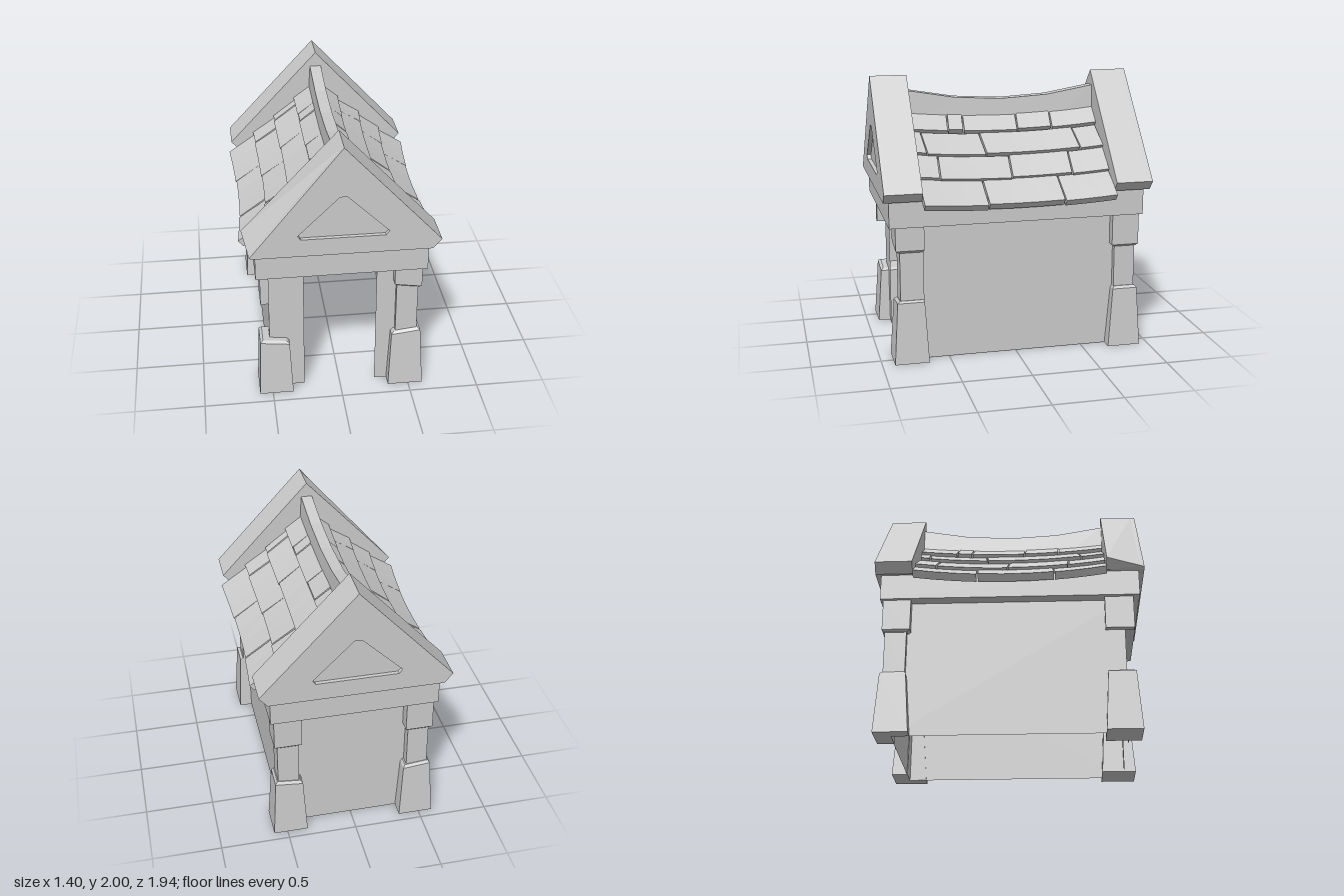
import * as THREE from 'three';

const stone = new THREE.MeshStandardMaterial({ color: 0xcccccc, flatShading: true });
const sheet = new THREE.MeshStandardMaterial({ color: 0xcccccc, flatShading: true, side: THREE.DoubleSide });

function add(parent, name, geometry, material = stone) {
  const mesh = new THREE.Mesh(geometry, material);
  mesh.name = name;
  parent.add(mesh);
  return mesh;
}

// Closed solid through rings of [x, y, z] points, listed from bottom to top
function loft(rings) {
  const flat = (r) => r.map(([x, , z]) => new THREE.Vector2(x, z));
  if (THREE.ShapeUtils.isClockWise(flat(rings[0]))) rings = rings.map((r) => [...r].reverse());
  const n = rings[0].length, index = [];
  for (let k = 0; k < rings.length - 1; k++) {
    for (let i = 0; i < n; i++) {
      const a = k * n + i, b = k * n + (i + 1) % n;
      index.push(a, b + n, b, a, a + n, b + n);
    }
  }
  const top = (rings.length - 1) * n;
  for (const [a, b, c] of THREE.ShapeUtils.triangulateShape(flat(rings[0]), [])) index.push(a, b, c);
  for (const [a, b, c] of THREE.ShapeUtils.triangulateShape(flat(rings[rings.length - 1]), [])) {
    index.push(top + a, top + c, top + b);
  }
  const g = new THREE.BufferGeometry();
  g.setAttribute('position', new THREE.Float32BufferAttribute(rings.flat(2), 3));
  g.setIndex(index);
  g.computeVertexNormals();
  return g;
}

// Corner stone; each section is [y, inner x, inner z, outer x, outer z, tilt]
function cornerStone(parent, name, sx, sz, sections, wrapsWall) {
  add(parent, name, loft(sections.map(([y, ix, iz, ox, oz, tilt = 0]) => {
    const pts = wrapsWall
      ? [[ox, oz], [ox, iz], [0.505, iz], [0.505, 0.815], [ix, 0.815], [ix, oz]]
      : [[ox, oz], [ox, iz], [ix, iz], [ix, oz]];
    return pts.map(([x, z]) => [sx * x, y + tilt * (x - 0.48), sz * z]);
  })));
}

function polygon(points, Type = THREE.Shape) {
  return new Type(points.map(([x, y]) => new THREE.Vector2(x, y)));
}

// Gable block with a sunken triangular panel; skew pulls in its front left eave
function gable(skew) {
  const group = new THREE.Group();
  const outline = [[0, 2], [-0.68, 1.27], [-0.62, 1.2], [0.62, 1.2], [0.68, 1.27]];
  const panel = [[-0.31, 1.36], [-0.29, 1.33], [0.29, 1.33], [0.315, 1.36], [0.025, 1.64], [-0.025, 1.64]];
  const layer = (name, z0, z1, hole) => {
    const shape = polygon(outline);
    if (hole) shape.holes.push(polygon(panel, THREE.Path));
    const g = new THREE.ExtrudeGeometry(shape, { depth: z1 - z0, bevelEnabled: false });
    g.translate(0, 0, z0);
    const p = g.attributes.position;
    for (let i = 0; i < p.count; i++) {
      if (!skew || p.getX(i) > -0.65) continue;
      const t = (p.getZ(i) - 0.7) / 0.27;
      p.setXY(i, -0.68 + 0.04 * t, 1.27 - 0.06 * t);
    }
    add(group, name, g);
  };
  layer('gableCore', 0.7, 0.94, false);
  layer('gableFrame', 0.94, 0.97, true);
  return group;
}

const sag = (z) => -(1 - (z / 0.7) ** 2);

// One roof tile, thick across the slope and following the sag of the roof
function tile([x0, y0, x1, y1], z0, z1, skew) {
  const g = new THREE.BoxGeometry(1, 1, 1, 1, 1, 3);
  const p = g.attributes.position;
  for (let i = 0; i < p.count; i++) {
    const u = p.getX(i) + 0.5, under = 0.5 - p.getY(i), w = p.getZ(i) + 0.5;
    const z = z0 + (z1 - z0) * w + skew * (u - 0.5);
    const s = sag(z);
    const x = x0 + (x1 - x0) * u;
    p.setXYZ(i, x - 0.035 * under + 0.045 * s * x, y0 + (y1 - y0) * u - 0.045 * under + 0.035 * s,
      THREE.MathUtils.clamp(z, -0.7, 0.7));
  }
  g.computeVertexNormals();
  return g;
}

export function createModel() {
  const model = new THREE.Group();
  model.name = 'house';

  // Thin walls around an open room, with a doorway in front
  const walls = new THREE.Group();
  walls.name = 'walls';
  model.add(walls);
  const W = 0.51, D = 0.82, H = 1.01;
  const front = polygon([[-W, 0], [-0.26, 0], [-0.26, 0.95], [0.26, 0.95], [0.26, 0], [W, 0], [W, H], [-W, H]]);
  add(walls, 'frontWall', new THREE.ShapeGeometry(front), sheet).position.z = D;
  add(walls, 'backWall', new THREE.PlaneGeometry(2 * W, H).rotateY(Math.PI), sheet).position.set(0, H / 2, -D);
  for (const s of [1, -1]) {
    add(walls, s > 0 ? 'leftWall' : 'rightWall', new THREE.PlaneGeometry(2 * D, H).rotateY(s * Math.PI / 2), sheet)
      .position.set(s * W, H / 2, 0);
  }

  // Beam on top of the walls
  add(model, 'beam', new THREE.BoxGeometry(1.2, 0.19, 1.86)).position.y = 1.105;

  // Corner pillars
  const pillars = new THREE.Group();
  pillars.name = 'pillars';
  model.add(pillars);
  for (const sx of [1, -1]) {
    // Front feet
    cornerStone(pillars, 'frontFoot', sx, 1, [
      [0, 0.35, 0.66, sx > 0 ? 0.605 : 0.595, 0.91],
      [sx > 0 ? 0.44 : 0.42, 0.37, 0.685, 0.58, 0.88, 0.12],
      [sx > 0 ? 0.455 : 0.435, 0.39, 0.69, 0.56, 0.86, 0.12]]);
    // Back pillars
    cornerStone(pillars, 'backFoot', sx, -1, [
      [0, 0.35, 0.69, 0.6, 0.935],
      [0.43, 0.375, 0.725, 0.575, 0.91, 0.1],
      [0.45, 0.39, 0.735, 0.56, 0.895, 0.1]], true);
    cornerStone(pillars, 'backShaft', sx, -1, [
      [0.42, 0.4, 0.735, 0.553, 0.89], [0.8, 0.4, 0.735, 0.553, 0.89]], true);
    cornerStone(pillars, 'backCapital', sx, -1, [
      [0.765, 0.4, 0.73, 0.56, 0.895], [0.78, 0.38, 0.71, 0.575, 0.91], [1.01, 0.38, 0.71, 0.575, 0.91]], true);
  }
  cornerStone(pillars, 'frontShaft', 1, 1, [
    [0.42, 0.4, 0.685, 0.555, 0.855], [0.87, 0.4, 0.685, 0.555, 0.855]]);
  cornerStone(pillars, 'frontCapital', 1, 1, [
    [0.83, 0.4, 0.69, 0.56, 0.86, -0.15], [0.85, 0.38, 0.68, 0.575, 0.885, -0.15], [1.01, 0.38, 0.68, 0.575, 0.885]]);
  // Broken remainder of the right front capital
  cornerStone(pillars, 'brokenCapital', -1, 1, [
    [0.78, 0.51, 0.68, 0.57, 0.885, -0.15], [1.01, 0.51, 0.68, 0.57, 0.885]]);

  // Gables
  const frontGable = gable(true);
  frontGable.name = 'frontGable';
  const backGable = gable(false);
  backGable.name = 'backGable';
  backGable.rotation.y = Math.PI;
  model.add(frontGable, backGable);

  // Roof body and sagging ridge
  const body = new THREE.ExtrudeGeometry(polygon([[-0.53, 1.19], [0.53, 1.19], [0, 1.64]]),
    { depth: 1.4, bevelEnabled: false });
  add(model, 'roofBody', body.translate(0, 0, -0.7));
  const ridge = new THREE.BoxGeometry(1, 1, 1.4, 1, 1, 4);
  const rp = ridge.attributes.position;
  for (let i = 0; i < rp.count; i++) {
    const up = rp.getY(i) > 0, z = rp.getZ(i);
    rp.setXY(i, rp.getX(i) * (up ? 0.085 : 0.12), up ? 1.89 + 0.08 * sag(z) : 1.58);
  }
  ridge.computeVertexNormals();
  add(model, 'ridge', ridge);

  // Four rows of tiles: upper edge, lower edge, joints along z, joint slant
  const rows = [
    { edge: [0.04, 1.735, 0.175, 1.63], joints: [-0.36, -0.1, 0.305, 0.42], slant: 0.01 },
    { edge: [0.165, 1.605, 0.345, 1.485], joints: [-0.52, 0.185, 0.62], slant: -0.02 },
    { edge: [0.33, 1.465, 0.51, 1.34], joints: [-0.43, 0.015, 0.54], slant: 0.01 },
    { edge: [0.49, 1.325, 0.7, 1.19], joints: [-0.32, 0.235], slant: -0.01 },
  ];
  for (const side of [0, 1]) {
    const tiles = new THREE.Group();
    tiles.name = side ? 'rightTiles' : 'leftTiles';
    tiles.rotation.y = side * Math.PI;
    model.add(tiles);
    for (const { edge, joints, slant } of rows) {
      const stops = [-0.7, ...joints, 0.7];
      for (let i = 0; i < stops.length - 1; i++) {
        const lift = i % 2 ? 0.006 : 0;
        const e = [edge[0], edge[1] + lift, edge[2] - lift, edge[3] + lift];
        add(tiles, 'tile', tile(e, stops[i] + (i ? 0.005 : 0), stops[i + 1] - 0.005, slant));
      }
    }
  }
  return model;
}
